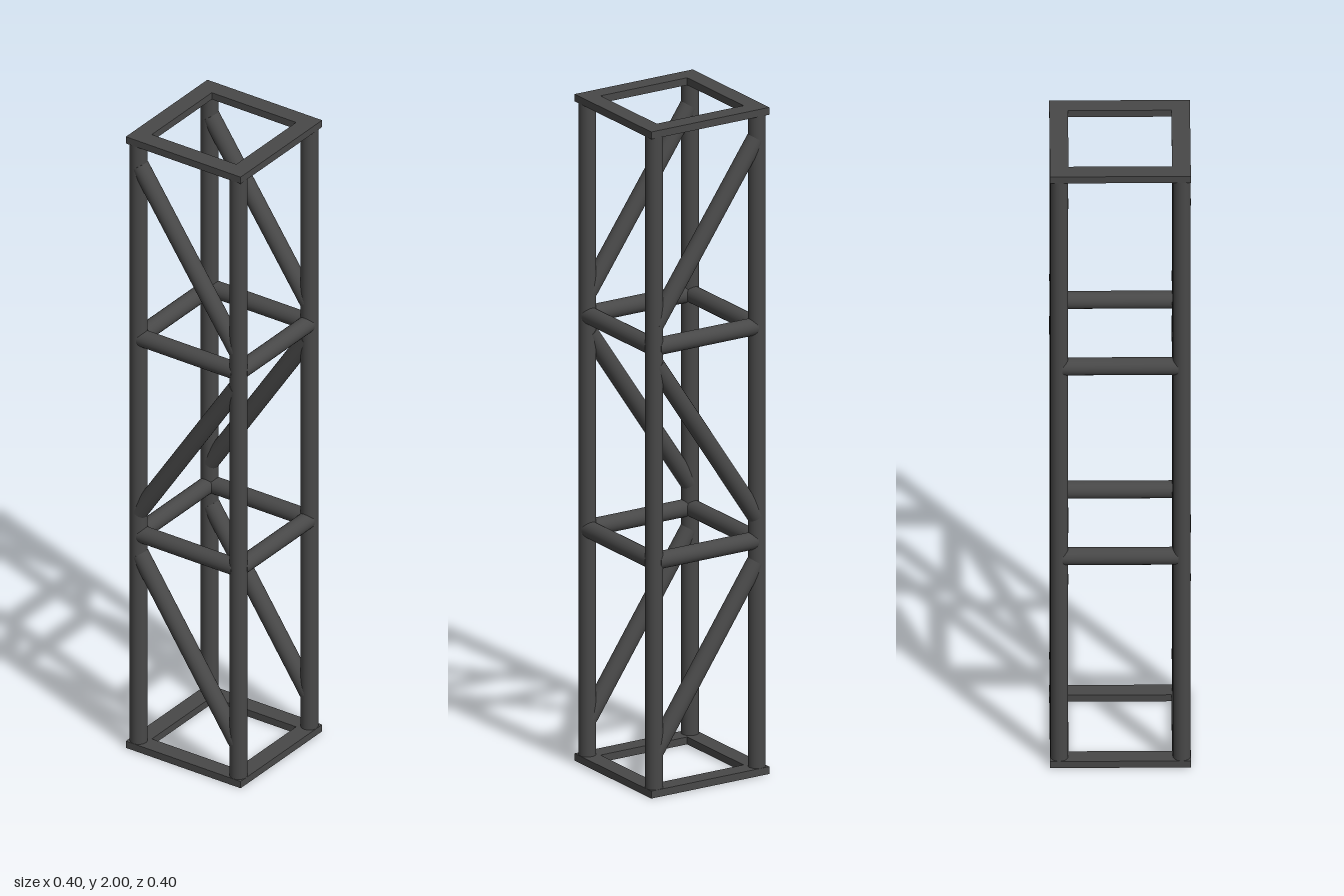
import * as THREE from 'three';

export function createModel() {
  const model = new THREE.Group();
  const steel = new THREE.MeshStandardMaterial({ color: 0x484848 });
  const P = 0.174; // offset of the tube axes from the centre
  const R = 0.0255; // tube radius
  const up = new THREE.Vector3(0, 1, 0);

  // Round tube between two points
  function tube(name, a, b, radius = R) {
    const from = new THREE.Vector3(...a);
    const dir = new THREE.Vector3(...b).sub(from);
    const mesh = new THREE.Mesh(new THREE.CylinderGeometry(radius, radius, dir.length(), 24), steel);
    mesh.position.copy(from).addScaledVector(dir, 0.5);
    mesh.quaternion.setFromUnitVectors(up, dir.normalize());
    mesh.name = name;
    model.add(mesh);
  }

  // Flat square frames closing the bottom and top
  function square(path, h) {
    path.moveTo(-h, -h);
    path.lineTo(h, -h);
    path.lineTo(h, h);
    path.lineTo(-h, h);
    path.closePath();
    return path;
  }
  const outline = square(new THREE.Shape(), 0.2);
  outline.holes.push(square(new THREE.Path(), 0.147));
  const frameGeometry = new THREE.ExtrudeGeometry(outline, { depth: 0.022, bevelEnabled: false });
  frameGeometry.rotateX(-Math.PI / 2);
  for (const [name, y] of [['bottomFrame', 0], ['topFrame', 1.978]]) {
    const frame = new THREE.Mesh(frameGeometry, steel);
    frame.position.y = y;
    frame.name = name;
    model.add(frame);
  }

  // Corner posts
  for (const x of [-P, P])
    for (const z of [-P, P]) tube('cornerPost', [x, 0.01, z], [x, 1.99, z]);

  // Two rings of horizontal rungs
  const E = 0.165;
  for (const y of [0.7, 1.342])
    for (const s of [-P, P]) {
      tube('crossRung', [-E, y, s], [E, y, s]);
      tube('sideRung', [s, y, -E], [s, y, E]);
    }

  // Zigzag diagonals on the two sides: [height at front, height at back]
  for (const [front, back] of [[0.13, 0.635], [1.29, 0.775], [1.41, 1.905]])
    for (const x of [-P, P])
      tube('diagonalBrace', [x, front, 0.17], [x, back, -0.17], 0.026);

  return model;
}
